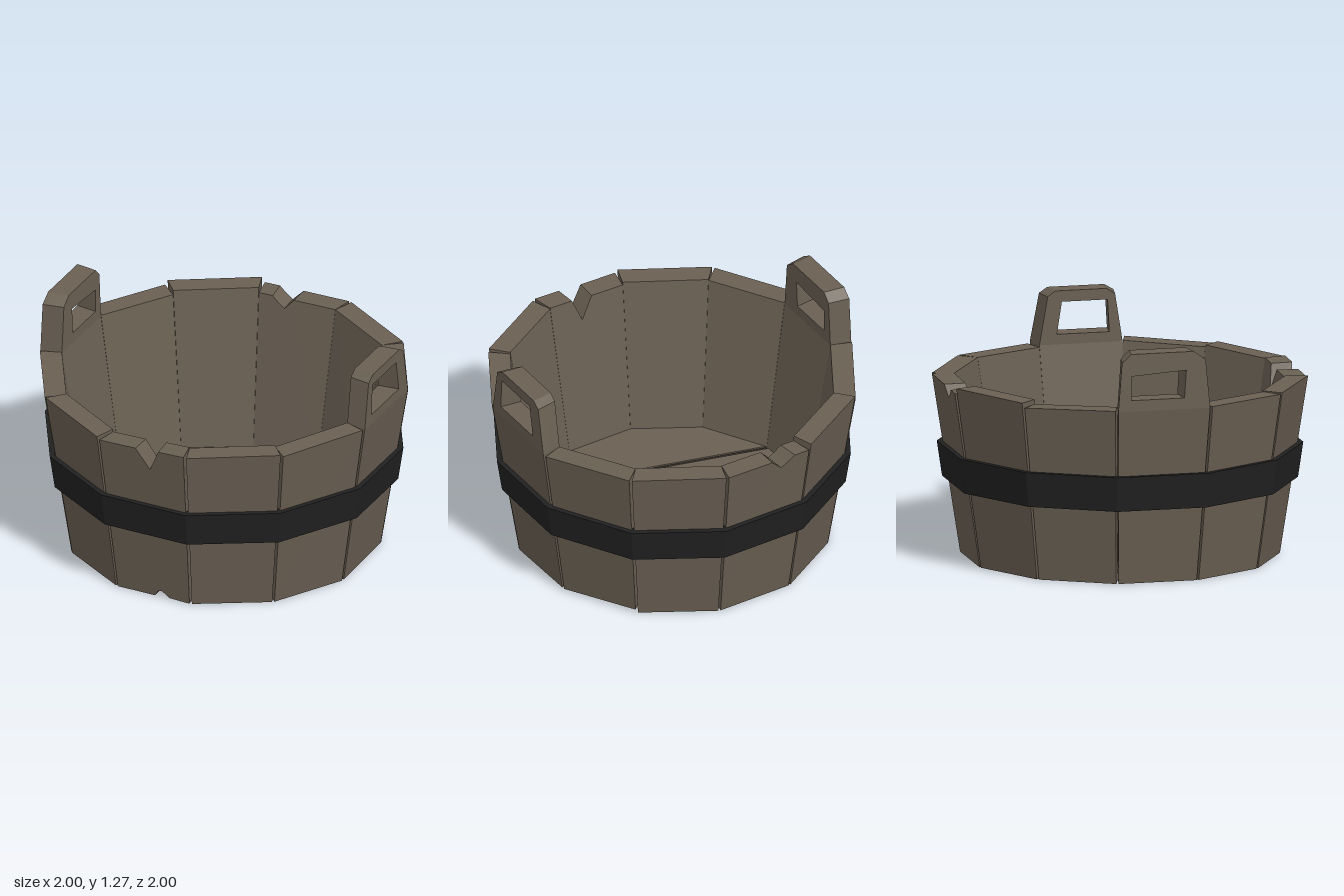
import * as THREE from 'three';

const SIDES = 12, STEP = Math.PI * 2 / SIDES, RIM = 0.96;

const wood = new THREE.MeshStandardMaterial({ name: 'weathered wood', color: 0x6a6053 });
const iron = new THREE.MeshStandardMaterial({ name: 'dark iron', color: 0x212122 });
const shade = new THREE.MeshStandardMaterial({ name: 'dark plank gap', color: 0x2c2823 });

// Radii of the tapered wall at height y; above the rim the wall is upright
const outerR = y => 0.85 + 0.15 * Math.min(y / RIM, 1);
const innerR = y => 0.725 + 0.155 * Math.min(y / RIM, 1);

function shapeOf(points) {
  return new THREE.Shape(points.map(p => new THREE.Vector2(p[0], p[1])));
}

// Bends a flat profile (u across the stave 0..1, y up) onto wall panel i
function panel(shape, i, name) {
  const geo = new THREE.ExtrudeGeometry(shape, { depth: 1, bevelEnabled: false, steps: 1 });
  const p = geo.attributes.position;
  const a0 = i * STEP, a1 = a0 + STEP;
  for (let k = 0; k < p.count; k++) {
    const y = p.getY(k), t = p.getZ(k);
    // the outer edges stand slightly apart, the inner ones meet
    const gap = 0.001 + 0.014 * t;
    const u = gap + p.getX(k) * (1 - 2 * gap);
    const r = innerR(y) + (outerR(y) - innerR(y)) * t;
    p.setXYZ(k,
      r * (Math.sin(a0) * (1 - u) + Math.sin(a1) * u), y,
      r * (Math.cos(a0) * (1 - u) + Math.cos(a1) * u));
  }
  geo.computeVertexNormals();
  const mesh = new THREE.Mesh(geo, wood);
  mesh.name = name;
  return mesh;
}

// Stave top heights at both ends, counted from the front towards +x
const TOPS = [
  [0.945, 0.965], [0.96, 0.965], [0.955, 0.965], [0.96, 0.96],
  [0.95, 0.96], [0.96, 0.965], [0.965, 0.955], [0.985, 0.98],
  [0.955, 0.965], [0.96, 0.96], [0.965, 0.96], [0.965, 0.96],
];
// Chips broken out of the top and bottom edges
const TOP_CHIPS = {
  0: [[0.70, 0.96], [0.585, 0.83], [0.43, 0.95]],
  6: [[0.82, 0.957], [0.74, 0.925], [0.66, 0.9], [0.54, 0.96]],
};
const BOTTOM_CHIPS = { 0: [[0.52, 0], [0.57, 0.035], [0.62, 0.04], [0.72, 0.005]] };
const LIFTS = { 3: [0.002, 0.016], 4: [0.012, 0.02] };

function makeStaves() {
  const g = new THREE.Group();
  g.name = 'staves';
  TOPS.forEach(([h0, h1], i) => {
    const [l0, l1] = LIFTS[i] || [0, 0];
    const shape = shapeOf([
      [0, l0], ...(BOTTOM_CHIPS[i] || []), [1, l1],
      [1, h1], ...(TOP_CHIPS[i] || []), [0, h0],
    ]);
    g.add(panel(shape, i, 'stave' + (i + 1)));
  });
  return g;
}

// Upright grip with chamfered corners and a hand hole
function makeHandle(i, name, outline, hole) {
  const shape = shapeOf(outline);
  shape.holes.push(new THREE.Path(hole.map(p => new THREE.Vector2(p[0], p[1]))));
  return panel(shape, i, name);
}

// Twelve-sided hoop with a sloped rectangular section
function makeHoop() {
  const profile = [[0.89, 0.41], [0.944, 0.41], [0.972, 0.60], [0.92, 0.60], [0.89, 0.41]]
    .map(p => new THREE.Vector2(p[0], p[1]));
  const geo = new THREE.LatheGeometry(profile, SIDES).toNonIndexed();
  geo.computeVertexNormals();
  const mesh = new THREE.Mesh(geo, iron);
  mesh.name = 'hoop';
  return mesh;
}

// Floor planks cut to the twelve-sided inside
function makeFloor() {
  const g = new THREE.Group();
  g.name = 'floor';
  const R = 0.75, bottom = 0.04, top = 0.1;
  const levels = [-3, -2, -1, 0, 1, 2, 3].map(k => R * Math.sin(k * STEP));
  const halfWidth = z => {
    const k = Math.min(5, Math.max(0, levels.findIndex(l => l > z) - 1));
    const w = j => R * Math.cos((j - 3) * STEP);
    const t = (z - levels[k]) / (levels[k + 1] - levels[k]);
    return w(k) + (w(k + 1) - w(k)) * t;
  };
  const slab = (z0, z1, y0, y1, material, name) => {
    const zs = [z0, ...levels.filter(l => l > z0 + 0.001 && l < z1 - 0.001), z1];
    const right = zs.map(z => [halfWidth(z), z]);
    const left = zs.map(z => [-halfWidth(z), z]).reverse();
    const geo = new THREE.ExtrudeGeometry(shapeOf([...right, ...left]), { depth: y1 - y0, bevelEnabled: false });
    geo.rotateX(Math.PI / 2);
    geo.translate(0, y1, 0);
    const mesh = new THREE.Mesh(geo, material);
    mesh.name = name;
    g.add(mesh);
  };
  slab(-0.7495, 0.7495, bottom, 0.06, wood, 'floorBase');
  const cuts = [[-0.385, 0.011], [-0.005, 0.007], [0.365, 0.011]];
  cuts.forEach(([z, w], i) => slab(z - w, z + w, 0.085, 0.092, shade, 'plankGap' + (i + 1)));
  const edges = [-0.7495, ...cuts.flatMap(([z, w]) => [z - w, z + w]), 0.7495];
  for (let i = 0; i < 4; i++) {
    slab(edges[2 * i], edges[2 * i + 1], 0.06, top, wood, 'floorPlank' + (i + 1));
  }
  return g;
}

export function createModel() {
  const bucket = new THREE.Group();
  bucket.name = 'bucket';
  bucket.add(makeStaves(), makeHoop(), makeFloor());
  bucket.add(makeHandle(3, 'leftHandle',
    [[0, 0.96], [1, 0.96], [0.9, 1.22], [0.81, 1.25], [0.19, 1.25], [0.09, 1.22]],
    [[0.16, 1.015], [0.18, 1.19], [0.73, 1.19], [0.79, 1.015]]));
  bucket.add(makeHandle(9, 'rightHandle',
    [[0, 0.96], [1, 0.96], [0.95, 1.225], [0.82, 1.27], [0.14, 1.27], [0.04, 1.225]],
    [[0.14, 1.02], [0.14, 1.15], [0.74, 1.17], [0.72, 1.02]]));
  return bucket;
}
